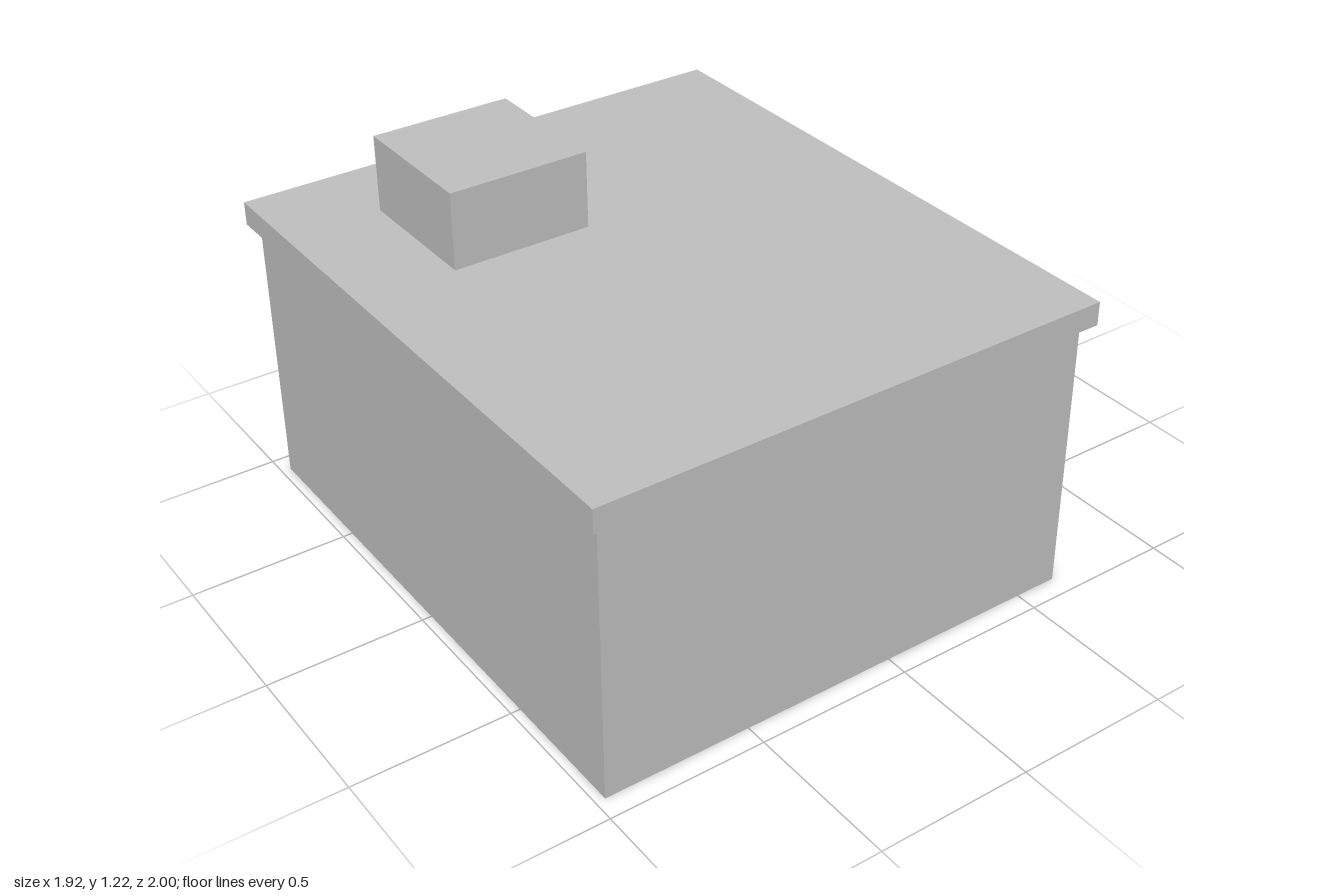
import * as THREE from 'three';

export function createModel() {
  const model = new THREE.Group();
  const grey = new THREE.MeshStandardMaterial({ color: 0xbfbfbf });
  grey.name = 'plain grey';

  // Box given by its extents along each axis
  function block(name, [x0, x1], [y0, y1], [z0, z1]) {
    const mesh = new THREE.Mesh(new THREE.BoxGeometry(x1 - x0, y1 - y0, z1 - z0), grey);
    mesh.position.set((x0 + x1) / 2, (y0 + y1) / 2, (z0 + z1) / 2);
    mesh.name = name;
    model.add(mesh);
  }

  // Same box on both sides of the centre line
  function pair(name, [x0, x1], y, z) {
    block(name + 'Left', [x0, x1], y, z);
    block(name + 'Right', [-x1, -x0], y, z);
  }

  // Building shell
  block('walls', [-0.93, 0.93], [0, 0.895], [-0.64, 0.97]);
  block('roofSlab', [-0.962, 0.962], [0.895, 0.97], [-0.675, 1]);
  block('roofUnit', [-0.68, -0.23], [0.97, 1.215], [0.24, 0.69]);

  // Shop front on the back wall
  block('fasciaBoard', [-0.855, 0.855], [0.69, 0.885], [-0.705, -0.64]);
  block('shopWindow', [-0.775, 0.775], [0.1, 0.69], [-0.66, -0.64]);
  block('door', [-0.2, 0.2], [0.055, 0.6], [-0.665, -0.655]);
  block('doorMullion', [-0.012, 0.012], [0.09, 0.69], [-0.68, -0.64]);
  pair('outerPost', [0.745, 0.798], [0.09, 0.69], [-0.68, -0.64]);
  pair('innerPost', [0.36, 0.385], [0.09, 0.69], [-0.68, -0.64]);

  // Entrance canopy and its columns
  block('canopy', [-0.325, 0.325], [0.635, 0.685], [-1, -0.65]);
  pair('canopyColumn', [0.265, 0.302], [0.03, 0.635], [-0.993, -0.956]);

  return model;
}
